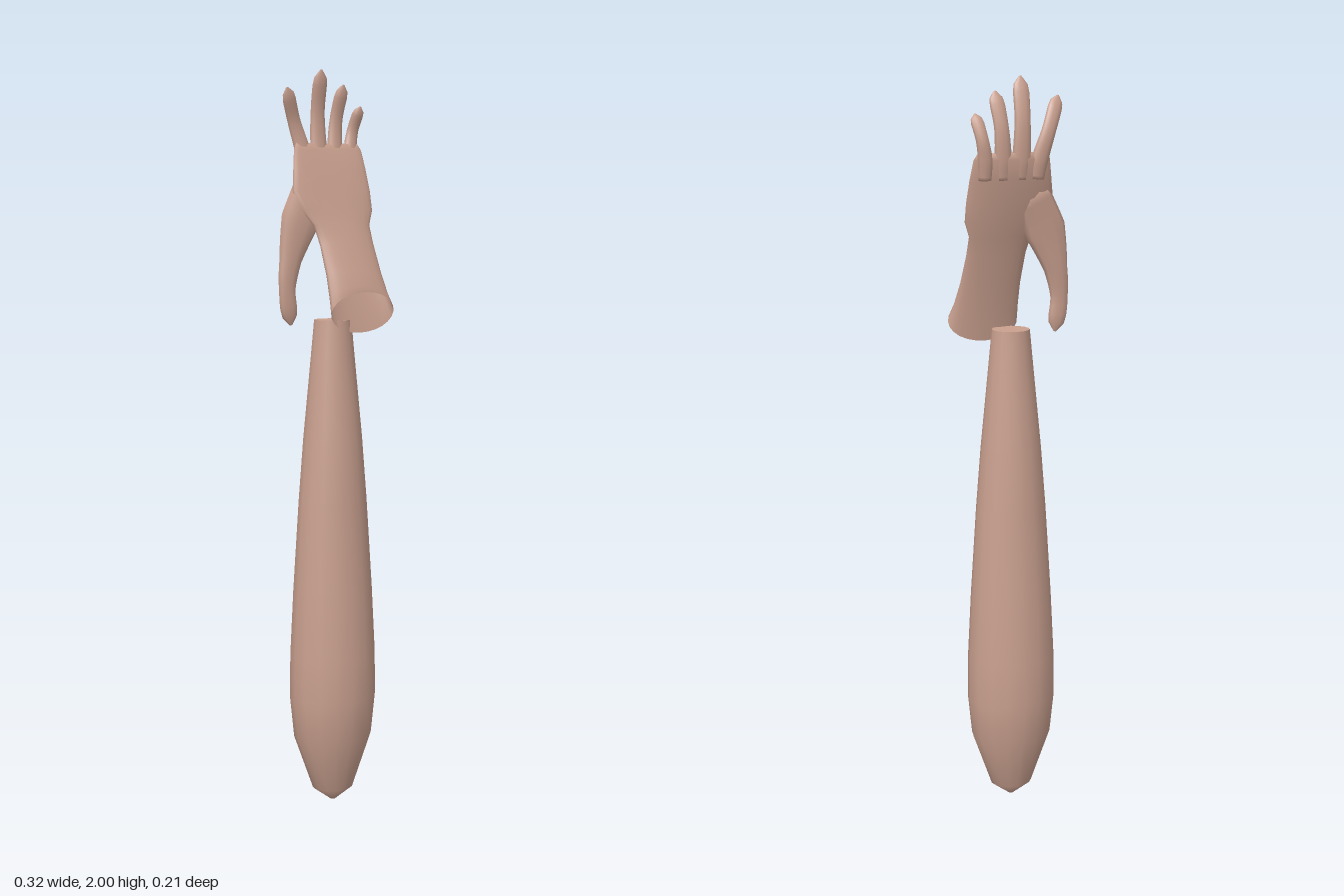
import * as THREE from 'three';

const V = (x, y, z) => new THREE.Vector3(x, y, z);

// Skin a series of oval rings { c: centre, u: half width, v: half depth, cup }
function loft(rings, seg, closeStart, closeEnd) {
  const pos = [], idx = [], n = rings.length;
  for (const { c, u, v, cup = 0 } of rings) {
    for (let j = 0; j < seg; j++) {
      const a = (j / seg) * Math.PI * 2, cos = Math.cos(a);
      const p = c.clone().addScaledVector(u, cos).addScaledVector(v, Math.sin(a));
      pos.push(p.x, p.y, p.z + cup * cos * cos);
    }
  }
  for (let i = 0; i < n - 1; i++) {
    for (let j = 0; j < seg; j++) {
      const k = (j + 1) % seg;
      const a = i * seg + j, b = i * seg + k;
      idx.push(a, b, a + seg, b, b + seg, a + seg);
    }
  }
  const cap = (ring, flip) => {
    const apex = pos.length / 3, base = ring * seg, c = rings[ring].c;
    pos.push(c.x, c.y, c.z);
    for (let j = 0; j < seg; j++) {
      const a = base + j, b = base + (j + 1) % seg;
      if (flip) idx.push(b, a, apex); else idx.push(a, b, apex);
    }
  };
  if (closeStart) cap(0, true);
  if (closeEnd) cap(n - 1, false);
  const g = new THREE.BufferGeometry();
  g.setAttribute('position', new THREE.Float32BufferAttribute(pos, 3));
  g.setIndex(idx);
  g.computeVertexNormals();
  return g;
}

// Flattened finger along a curve, with a rounded tip
function digit(points, widths, depths) {
  const curve = new THREE.CatmullRomCurve3(points.map(p => V(...p)));
  const steps = 16, rings = [];
  const sample = (list, t) => {
    const f = t * (list.length - 1), i = Math.min(Math.floor(f), list.length - 2);
    return THREE.MathUtils.lerp(list[i], list[i + 1], f - i);
  };
  for (let i = 0; i <= steps; i++) {
    const t = i / steps, d = curve.getTangent(t);
    const u = V(d.y, -d.x, 0).normalize();
    const v = d.clone().cross(u);
    const e = Math.max(0, (t - 0.87) / 0.13);
    const round = Math.sqrt(Math.max(0.02, 1 - e * e));
    rings.push({
      c: curve.getPoint(t),
      u: u.multiplyScalar(sample(widths, t) * round),
      v: v.multiplyScalar(sample(depths, t) * round),
    });
  }
  return loft(rings, 10, true, true);
}

export function createModel() {
  const model = new THREE.Group();
  model.name = 'forearmAndHand';
  const skin = new THREE.MeshStandardMaterial({ color: 0xc9a08f, side: THREE.DoubleSide });
  skin.name = 'skin';
  const add = (name, geometry, parent = model) => {
    const mesh = new THREE.Mesh(geometry, skin);
    mesh.name = name;
    parent.add(mesh);
  };

  // Tapered forearm: height, half width, half depth
  const arm = [
    [0.003, 0.008, 0.008], [0.04, 0.058, 0.05], [0.19, 0.112, 0.094], [0.3, 0.123, 0.105],
    [0.42, 0.122, 0.104], [0.6, 0.113, 0.096], [0.85, 0.097, 0.082], [1.02, 0.083, 0.073],
    [1.24, 0.061, 0.056], [1.34, 0.051, 0.05],
  ];
  const armRings = arm.map(([y, rx, rz]) => ({ c: V(0, y, 0), u: V(rx, 0, 0), v: V(0, 0, -rz) }));
  add('forearm', loft(armRings, 16, true, false));
  const top = armRings[armRings.length - 1];
  add('forearmTop', loft([top, { c: top.c, u: V(0.02, 0, 0), v: V(0, 0, -0.02) }], 16, false, true));

  const hand = new THREE.Group();
  hand.name = 'hand';
  model.add(hand);

  // Open flared wrist running into the palm: centre, half width, depth direction, cupping
  const palm = [
    [0.057, 1.36, 0.06, 0.099, -0.055, -0.015, 0],
    [0.05, 1.4, 0.053, 0.092, -0.03, -0.02, 0],
    [0.044, 1.46, 0.037, 0.086, -0.012, -0.022, 0],
    [0.037, 1.54, 0.012, 0.084, -0.006, -0.019, 0],
    [0.031, 1.59, -0.004, 0.088, -0.004, -0.018, 0],
    [0.022, 1.63, -0.018, 0.112, -0.003, -0.018, 0.005],
    [0.012, 1.68, -0.032, 0.122, -0.003, -0.018, 0.008],
    [0.016, 1.74, -0.05, 0.114, -0.002, -0.017, 0.01],
    [0.018, 1.79, -0.062, 0.106, 0, -0.014, 0.009],
    [0.018, 1.808, -0.064, 0.096, 0, -0.006, 0.006],
  ];
  add('palmAndWrist', loft(palm.map(([x, y, z, w, vy, vz, cup]) => (
    { c: V(x, y, z), u: V(w, 0, 0), v: V(0, vy, vz), cup })), 24, false, true), hand);

  // Four fingers: base x, middle x, tip x, tip height, half width
  const fingers = [
    ['indexFinger', -0.05, -0.08, -0.113, 1.95, 0.021],
    ['middleFinger', -0.004, -0.006, -0.007, 2.0, 0.023],
    ['ringFinger', 0.045, 0.052, 0.063, 1.963, 0.021],
    ['littleFinger', 0.093, 0.105, 0.117, 1.907, 0.018],
  ];
  for (const [name, x0, x1, x2, tip, w] of fingers) {
    const mid = (1.78 + tip) / 2;
    add(name, digit(
      [[x0, 1.74, -0.055], [x0 * 0.8 + x1 * 0.2, 1.79, -0.063], [x1, mid, -0.066], [x2, tip, -0.046]],
      [w, w * 1.15, w * 0.95, w], [0.013, 0.013, 0.011, 0.01]), hand);
  }

  // Thumb hanging down beside the wrist
  add('thumb', digit(
    [[-0.045, 1.7, -0.036], [-0.09, 1.6, -0.022], [-0.122, 1.5, -0.016], [-0.134, 1.42, -0.013], [-0.122, 1.328, -0.014]],
    [0.05, 0.058, 0.034, 0.025, 0.027], [0.015, 0.016, 0.014, 0.011, 0.01]), hand);

  return model;
}
